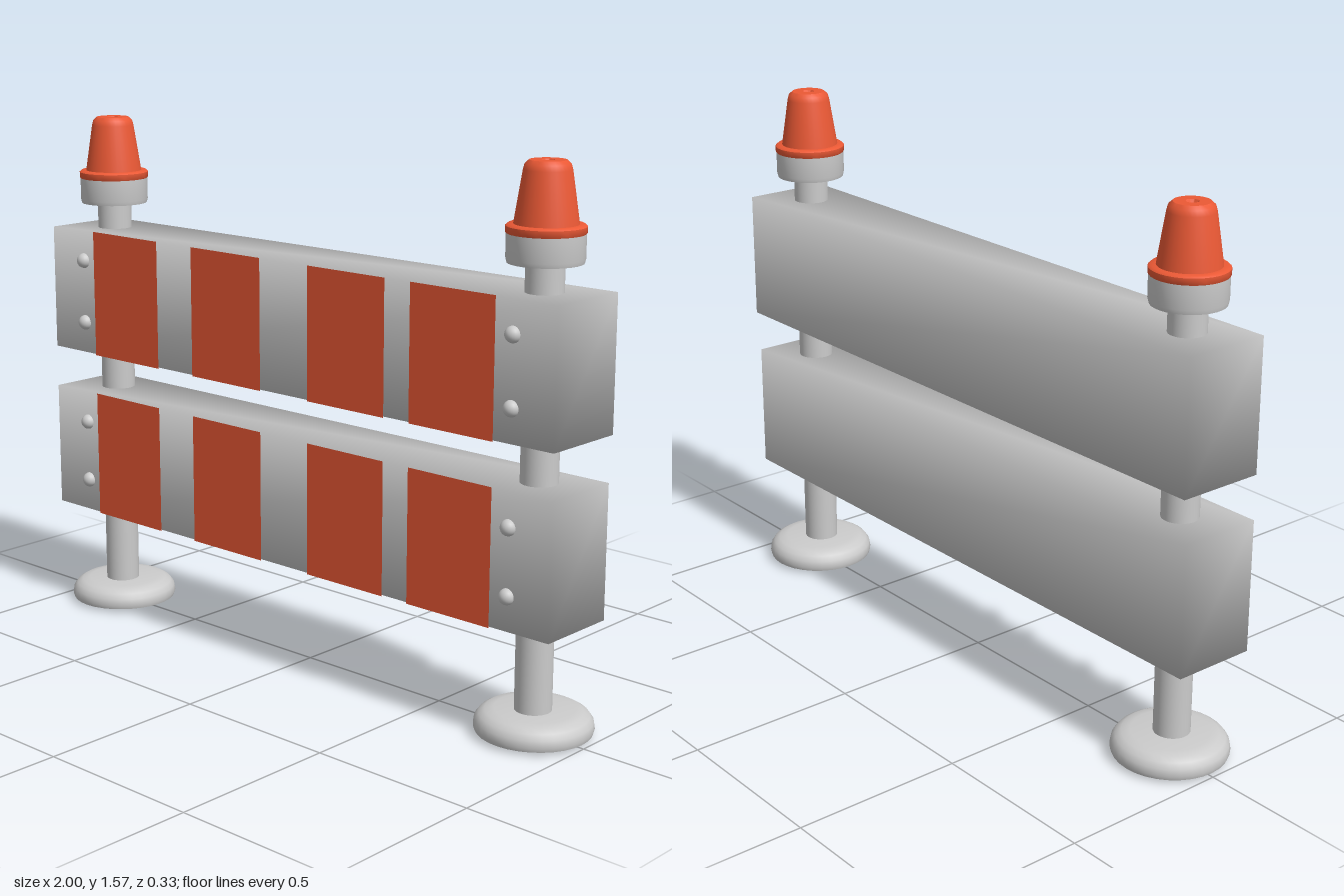
import * as THREE from 'three';
import { mergeVertices, toCreasedNormals } from 'three/addons/utils/BufferGeometryUtils.js';

const grey = new THREE.MeshStandardMaterial({ color: 0xcccccc });
const orange = new THREE.MeshStandardMaterial({ color: 0xeb5935 });

function add(parent, name, geometry, material, x = 0, y = 0, z = 0) {
  const mesh = new THREE.Mesh(geometry, material);
  mesh.name = name;
  mesh.position.set(x, y, z);
  parent.add(mesh);
  return mesh;
}

// Revolved profile of [radius, y] pairs, listed bottom to top
function lathe(points, crease = 0.7) {
  const profile = points.map(([r, y]) => new THREE.Vector2(r, y));
  return toCreasedNormals(new THREE.LatheGeometry(profile, 32), crease);
}

// Box whose corners share averaged normals, giving softly shaded faces
function softBox(w, h, d) {
  const box = new THREE.BoxGeometry(w, h, d);
  box.deleteAttribute('normal');
  box.deleteAttribute('uv');
  const merged = mergeVertices(box);
  merged.computeVertexNormals();
  return merged;
}

export function createModel() {
  const model = new THREE.Group();
  model.name = 'roadBarrier';
  const postX = 0.833;

  // Profiles shared by both uprights
  const baseGeo = lathe([[0, 0], [0.09, 0.003], [0.162, 0.01], [0.166, 0.022], [0.163, 0.042],
    [0.152, 0.057], [0.135, 0.067], [0.11, 0.071], [0, 0.071]]);
  const postGeo = new THREE.CylinderGeometry(0.052, 0.052, 1.26, 32);
  const collarGeo = lathe([[0, 1.3], [0.101, 1.3], [0.104, 1.312], [0.104, 1.377], [0, 1.377]]);
  const rimGeo = lathe([[0.104, 1.377], [0.106, 1.38], [0.106, 1.396], [0.1, 1.401], [0.08, 1.401]]);
  const lensGeo = lathe([[0.086, 1.398], [0.064, 1.54], [0.06, 1.555], [0.049, 1.565],
    [0.018, 1.565], [0.012, 1.556], [0, 1.554]]);

  // Uprights with foot and warning lamp
  for (const side of [-1, 1]) {
    const upright = new THREE.Group();
    upright.name = side > 0 ? 'leftUpright' : 'rightUpright';
    upright.position.set(side * postX, 0, 0);
    add(upright, 'base', baseGeo, grey);
    add(upright, 'post', postGeo, grey, 0, 0.68, 0.005);
    const lamp = new THREE.Group();
    lamp.name = 'lamp';
    lamp.position.z = 0.005;
    add(lamp, 'lampCollar', collarGeo, grey);
    add(lamp, 'lampRim', rimGeo, orange);
    add(lamp, 'lampLens', lensGeo, orange);
    upright.add(lamp);
    model.add(upright);
  }

  // Two boards, each with four orange panels and two bolts per end
  const boards = [
    { name: 'lowerBoard', bottom: 0.327, top: 0.711, back: -0.115, bolts: [0.425, 0.615] },
    { name: 'upperBoard', bottom: 0.84, top: 1.222, back: -0.126, bolts: [0.935, 1.13] },
  ];
  const panels = [[-0.785, -0.5], [-0.352, -0.07], [0.115, 0.4], [0.49, 0.777]];
  const front = 0.135;
  const boltGeo = new THREE.SphereGeometry(0.023, 20, 14);

  for (const { name, bottom, top, back, bolts } of boards) {
    const group = new THREE.Group();
    group.name = name;
    const midY = (bottom + top) / 2;
    add(group, 'board', softBox(1.947, top - bottom, front - back), grey,
      -0.002, midY, (front + back) / 2);
    for (const [x0, x1] of panels) {
      add(group, 'panel', new THREE.PlaneGeometry(x1 - x0, top - bottom + 0.006), orange,
        (x0 + x1) / 2, midY, front + 0.003);
    }
    for (const side of [-1, 1]) {
      for (const y of bolts) add(group, 'bolt', boltGeo, grey, side * postX, y, front);
    }
    model.add(group);
  }
  return model;
}
